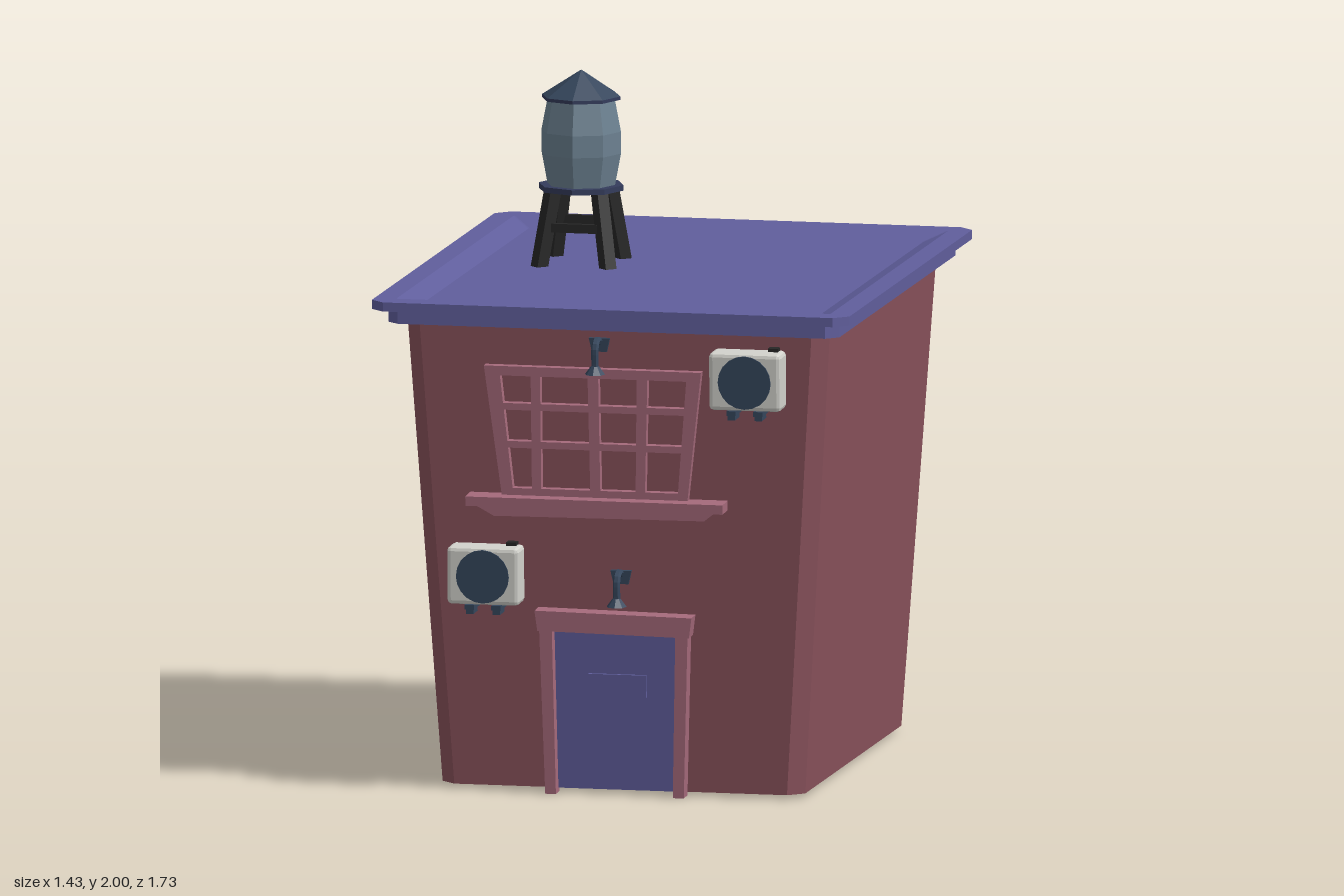
import * as THREE from 'three';
import { RoundedBoxGeometry } from 'three/addons/geometries/RoundedBoxGeometry.js';

const mat = (name, color, side = THREE.FrontSide) => {
  const m = new THREE.MeshStandardMaterial({ color, flatShading: true, side });
  m.name = name;
  return m;
};

// Stack of chamfered rectangles [y, halfX, halfZ, chamfer], capped at both ends
function loft(levels) {
  const rings = levels.map(([y, x, z, c]) => [
    [-x + c, y, z], [x - c, y, z], [x, y, z - c], [x, y, -z + c],
    [x - c, y, -z], [-x + c, y, -z], [-x, y, -z + c], [-x, y, z - c],
  ]);
  const pos = [];
  const tri = (a, b, c) => pos.push(...a, ...b, ...c);
  for (let i = 0; i + 1 < rings.length; i++) {
    for (let j = 0; j < 8; j++) {
      const k = (j + 1) % 8, lo = rings[i], hi = rings[i + 1];
      tri(lo[j], lo[k], hi[k]);
      tri(lo[j], hi[k], hi[j]);
    }
  }
  const bottom = rings[0], top = rings[rings.length - 1];
  for (let j = 1; j < 7; j++) {
    tri(top[0], top[j], top[j + 1]);
    tri(bottom[0], bottom[j + 1], bottom[j]);
  }
  const g = new THREE.BufferGeometry();
  g.setAttribute('position', new THREE.Float32BufferAttribute(pos, 3));
  g.computeVertexNormals();
  return g;
}

const path = (pts, T = THREE.Shape) => new T(pts.map(([x, y]) => new THREE.Vector2(x, y)));
const slab = (shape, depth) => new THREE.ExtrudeGeometry(shape, { depth, bevelEnabled: false });

function add(parent, name, geometry, material, x = 0, y = 0, z = 0) {
  const m = new THREE.Mesh(geometry, material);
  m.name = name;
  m.position.set(x, y, z);
  parent.add(m);
  return m;
}

function group(parent, name, x = 0, y = 0, z = 0) {
  const g = new THREE.Group();
  g.name = name;
  g.position.set(x, y, z);
  parent.add(g);
  return g;
}

export function createModel() {
  const brick = mat('brick red', 0x8a525c);
  const trim = mat('dusty pink', 0xa56a7b);
  const violet = mat('violet', 0x605e9c);
  const steel = mat('steel blue', 0x6c8191);
  const slate = mat('dark slate', 0x35465c);
  const navy = mat('navy', 0x343c5c);
  const black = mat('charcoal', 0x262626);
  const white = mat('off white', 0xd2d2cc);

  const model = new THREE.Group();
  model.name = 'building';

  // Walls flare outward toward the roof
  add(model, 'walls', loft([[0.01, 0.543, 0.69, 0.045], [1.39, 0.632, 0.76, 0.045]]), brick);

  // Two-step cornice with a shallow sunken roof
  add(model, 'roof', loft([
    [1.385, 0.675, 0.815, 0.035], [1.428, 0.675, 0.815, 0.035],
    [1.428, 0.715, 0.865, 0.042], [1.455, 0.715, 0.865, 0.042],
    [1.455, 0.65, 0.79, 0.004], [1.43, 0.59, 0.72, 0.004],
  ]), violet);

  // Facade details lean with the front wall
  const facade = group(model, 'facade', 0, 0, 0.689);
  facade.rotation.x = Math.atan(0.07 / 1.38);

  // Window lattice: columns taper from top to bottom
  const win = { y0: 0.88, y1: 1.268 };
  const frame = path([[-0.34, win.y0], [0.215, win.y0], [0.26, win.y1], [-0.39, win.y1]]);
  const columns = [ // [left bottom, left top, right bottom, right top]
    [-0.305, -0.345, -0.25, -0.25], [-0.222, -0.222, -0.075, -0.08],
    [-0.045, -0.048, 0.06, 0.068], [0.088, 0.1, 0.185, 0.218],
  ];
  const rows = [[0.905, 1.025], [1.045, 1.138], [1.158, 1.24]];
  for (const [lb, lt, rb, rt] of columns) {
    for (const [a, b] of rows) {
      const at = (lo, hi, y) => lo + (hi - lo) * (y - win.y0) / (win.y1 - win.y0);
      frame.holes.push(path([
        [at(lb, lt, a), a], [at(lb, lt, b), b], [at(rb, rt, b), b], [at(rb, rt, a), a],
      ], THREE.Path));
    }
  }
  add(facade, 'windowLattice', slab(frame, 0.026), trim);
  add(facade, 'windowSill', new THREE.BoxGeometry(0.77, 0.028, 0.09), trim, -0.055, 0.87, 0.025);
  add(facade, 'sillMoulding', slab(path([
    [-0.36, 0.825], [0.27, 0.83], [0.305, 0.858], [-0.42, 0.858],
  ]), 0.05), trim);

  // Door with surround and letter plate
  add(facade, 'door', slab(path([
    [-0.2, 0.012], [0.18, 0.012], [0.195, 0.5], [-0.2, 0.5],
  ]), 0.014), violet);
  add(facade, 'letterPlate', new THREE.BoxGeometry(0.175, 0.066, 0.009), violet, -0.003, 0.324, 0.018);
  add(facade, 'doorPosts', slab([
    path([[-0.215, 0], [-0.183, 0], [-0.19, 0.5], [-0.228, 0.5]]),
    path([[0.167, 0], [0.2, 0], [0.217, 0.5], [0.18, 0.5]]),
  ], 0.05), trim);
  add(facade, 'doorLintel', slab(path([
    [-0.232, 0.487], [0.222, 0.48], [0.23, 0.54], [-0.24, 0.547],
  ]), 0.056), trim);

  // Wall lamps: plate, curved arm and wide shade
  const arm = new THREE.TubeGeometry(new THREE.CatmullRomCurve3([
    [0, 0.005, 0], [0, 0.018, 0.04], [0, 0.005, 0.065], [0, -0.06, 0.07],
  ].map((p) => new THREE.Vector3(...p))), 10, 0.011, 6);
  const plate = slab(path([[-0.022, -0.022], [0.022, -0.022], [0.031, 0.018], [-0.031, 0.018]]), 0.012);
  const shade = new THREE.CylinderGeometry(0.012, 0.03, 0.024, 8);
  for (const [x, y] of [[0.01, 0.648], [-0.047, 1.34]]) {
    const lamp = group(facade, 'wallLamp', x, y, 0);
    add(lamp, 'lampPlate', plate, slate);
    add(lamp, 'lampArm', arm, slate);
    add(lamp, 'lampShade', shade, slate, 0, -0.065, 0.07);
  }

  // Air conditioners on brackets
  for (const [x, y, z] of [[0.402, 1.25, 0.788], [-0.388, 0.645, 0.76]]) {
    const unit = group(model, 'airConditioner', x, y, z);
    unit.rotation.x = 0.03;
    add(unit, 'unitCase', new RoundedBoxGeometry(0.215, 0.17, 0.09, 1, 0.012), white);
    add(unit, 'fan', new THREE.CylinderGeometry(0.079, 0.079, 0.006, 20), slate, 0, 0, 0.046)
      .rotation.x = Math.PI / 2;
    add(unit, 'unitPipe', new THREE.BoxGeometry(0.03, 0.012, 0.03), black, 0.075, 0.089, -0.02);
    for (const s of [-1, 1]) {
      add(unit, 'bracket', new THREE.BoxGeometry(0.028, 0.014, 0.095), slate, s * 0.04, -0.092, 0);
      add(unit, 'bracketFoot', new THREE.BoxGeometry(0.022, 0.016, 0.06), slate, s * 0.04, -0.105, 0.012);
    }
  }

  // Water tower
  const tower = group(model, 'waterTower', -0.304, 0, -0.145);
  const barrel = [[0, 1.655], [0.1, 1.655], [0.119, 1.755], [0.119, 1.82], [0.1, 1.918], [0, 1.918]];
  add(tower, 'tank', new THREE.LatheGeometry(barrel.map(([r, y]) => new THREE.Vector2(r, y)), 8), steel);
  add(tower, 'platform', new THREE.CylinderGeometry(0.127, 0.127, 0.016, 8), navy, 0, 1.654);
  add(tower, 'tankRim', new THREE.CylinderGeometry(0.117, 0.117, 0.01, 8), navy, 0, 1.919);
  add(tower, 'tankRoof', new THREE.ConeGeometry(0.117, 0.076, 8), slate, 0, 1.962);

  // Splayed legs with cross beams
  const up = new THREE.Vector3(0, 1, 0);
  for (const sx of [-1, 1]) {
    for (const sz of [-1, 1]) {
      const foot = new THREE.Vector3(sx * 0.103, 1.425, sz * 0.103);
      const head = new THREE.Vector3(sx * 0.07, 1.65, sz * 0.07);
      const dir = head.clone().sub(foot);
      const leg = add(tower, 'leg', new THREE.CylinderGeometry(0.026, 0.026, dir.length(), 4), black);
      leg.position.copy(foot).add(head).multiplyScalar(0.5);
      leg.quaternion.setFromUnitVectors(up, dir.normalize());
    }
    add(tower, 'crossBeam', new THREE.BoxGeometry(0.17, 0.026, 0.018), black, 0, 1.543, sx * 0.086);
  }
  return model;
}
